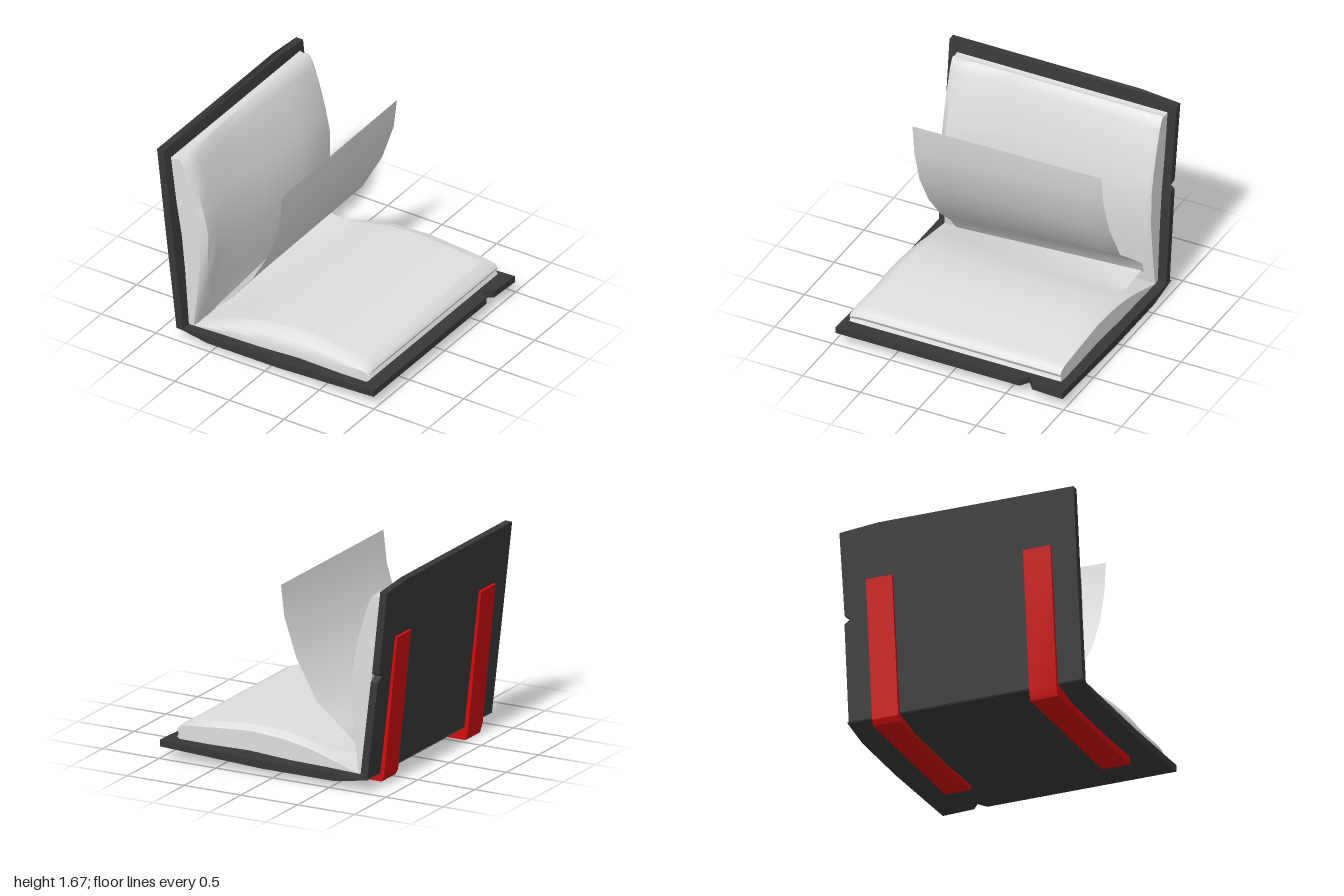
import * as THREE from 'three';
import { toCreasedNormals } from 'three/addons/utils/BufferGeometryUtils.js';

const coverMat = new THREE.MeshStandardMaterial({ color: 0x383838 });
coverMat.name = 'charcoal cover';
const paperMat = new THREE.MeshStandardMaterial({ color: 0xdededc, side: THREE.DoubleSide });
paperMat.name = 'paper white';
const strapMat = new THREE.MeshStandardMaterial({ color: 0xd20c0c });
strapMat.name = 'strap red';

// Solid through a row of closed rings; flat() projects a ring so it runs counter-clockwise
function loft(rings, flat, crease) {
  const n = rings[0].length, last = (rings.length - 1) * n, index = [];
  for (let i = 0; i < rings.length - 1; i++) {
    for (let j = 0; j < n; j++) {
      const a = i * n + j, b = i * n + (j + 1) % n;
      index.push(a, b, a + n, b, b + n, a + n);
    }
  }
  const cap = (ring) => THREE.ShapeUtils.triangulateShape(ring.map((p) => new THREE.Vector2(...flat(p))), []);
  for (const [a, b, c] of cap(rings[0])) index.push(a, c, b);
  for (const [a, b, c] of cap(rings.at(-1))) index.push(last + a, last + b, last + c);
  const geo = new THREE.BufferGeometry();
  geo.setAttribute('position', new THREE.Float32BufferAttribute(rings.flat(2), 3));
  geo.setIndex(index);
  return toCreasedNormals(geo, crease);
}
const alongZ = ([x, y]) => [x, y];
const alongY = ([x, , z]) => [x, -z];

// Thin page stretched between a back and a front edge curve
function sheet(back, front, zBack, zFront) {
  const pos = [], index = [], rows = 8;
  back.forEach((b, i) => {
    for (let k = 0; k <= rows; k++) {
      const t = k / rows, lerp = THREE.MathUtils.lerp;
      pos.push(lerp(b[0], front[i][0], t), lerp(b[1], front[i][1], t), lerp(zBack, zFront, t));
      if (i && k) {
        const d = i * (rows + 1) + k, c = d - 1, u = d - rows - 1;
        index.push(u - 1, c, u, u, c, d);
      }
    }
  });
  const geo = new THREE.BufferGeometry();
  geo.setAttribute('position', new THREE.Float32BufferAttribute(pos, 3));
  geo.setIndex(index);
  geo.computeVertexNormals();
  return geo;
}

export function createModel() {
  const book = new THREE.Group();
  book.name = 'openBook';
  const add = (name, geo, mat) => {
    const mesh = new THREE.Mesh(geo, mat);
    mesh.name = name;
    book.add(mesh);
  };

  // Lying cover, with a nick in its outer edge
  const lying = [[-0.83, 0.105], [-0.54, 0.055], [0.1, 0.055], [0.9, 0.09], [1, 0.095],
    [1, 0.15], [0.9, 0.145], [0.2, 0.12], [-0.8, 0.115]];
  const lyingStations = [[-0.99, 1], [-0.72, 0.985], [-0.66, 0.91], [-0.61, 0.985], [0.98, 0.985]];
  add('lyingCover', loft(lyingStations.map(([z, edge]) =>
    lying.map(([x, y]) => [x === 1 ? edge : x, y, z])), alongZ, 0.3), coverMat);

  // Standing cover, with a nick in its back edge and a worn top corner
  const standing = [[0.1, -0.98], [0.9, -0.975], [0.94, -0.92], [0.97, -0.97], [1.64, -0.98]];
  add('standingCover', loft(standing.map(([y, zBack], i) => {
    const x = -0.82 - (y - 0.1) * 0.116;
    const lift = i === 4 ? 0.03 : 0;
    return [[x, y + lift, 0.985], [x + 0.062, y + lift, 0.985], [x + 0.062, y + lift, -0.65],
      [x + 0.062, y, zBack], [x, y, zBack], [x, y + lift, -0.65]];
  }), alongY, 0.3), coverMat);

  // Page block on the lying cover; its front end rounds down
  const lower = [[-0.72, 0.12], [-0.45, 0.13], [-0.1, 0.137], [0.25, 0.158], [0.6, 0.152], [0.87, 0.155],
    [0.89, 0.17], [0.875, 0.2], [0.89, 0.23], [0.87, 0.262], [0.8, 0.28], [0.55, 0.31], [0.25, 0.335],
    [-0.05, 0.315], [-0.25, 0.275], [-0.4, 0.23], [-0.58, 0.165]];
  const lowerStations = [[-0.915, 0.9], [-0.89, 1], [0.78, 1], [0.84, 0.9], [0.885, 0.72], [0.91, 0.45]];
  add('lyingPages', loft(lowerStations.map(([z, s]) =>
    lower.map(([x, y]) => {
      const floor = 0.13 + 0.025 * THREE.MathUtils.smoothstep(x, -0.2, 0.3);
      const keep = x > 0.7 ? 1 - (1 - s) * 0.5 : s;
      return [x, y > floor + 0.03 ? floor + (y - floor) * keep : y, z];
    })), alongZ, 0.8), paperMat);

  // Page block on the standing cover; its face sags between the ends
  const upper = [[-0.755, 0.12], [-0.7, 0.12], [-0.66, 0.35], [-0.615, 0.65], [-0.61, 0.95], [-0.65, 1.13],
    [-0.7, 1.3], [-0.77, 1.5], [-0.81, 1.57], [-0.85, 1.585], [-0.88, 1.572], [-0.92, 1.58],
    [-0.87, 1.2], [-0.82, 0.9], [-0.79, 0.6]];
  const upperStations = [[-0.91, 0.85], [-0.88, 0.93], [-0.5, 0.85], [0, 0.8], [0.4, 0.7],
    [0.72, 0.92], [0.86, 1], [0.91, 0.8]];
  add('standingPages', loft(upperStations.map(([z, s]) =>
    upper.map(([x, y], j) => {
      const base = -0.755 - (y - 0.12) * 0.113;
      return [j > 0 && j < 9 ? base + (x - base) * s : x, y, z];
    })), alongZ, 0.8), paperMat);

  // Loose page resting on the lying block
  add('restingPage', sheet(
    [[-0.63, 0.265], [-0.38, 0.245], [-0.22, 0.295], [-0.05, 0.33], [0.25, 0.35], [0.55, 0.325], [0.8, 0.298]],
    [[-0.7, 0.125], [-0.42, 0.235], [-0.25, 0.285], [-0.05, 0.323], [0.25, 0.343], [0.55, 0.318], [0.8, 0.288]],
    -0.83, 0.8), paperMat);

  // Page caught while turning
  add('turningPage', sheet(
    [[-0.72, 0.12], [-0.66, 0.31], [-0.48, 0.46], [-0.29, 0.61], [-0.11, 0.94], [-0.005, 1.25], [0.025, 1.505]],
    [[-0.7, 0.12], [-0.6, 0.25], [-0.44, 0.4], [-0.24, 0.65], [-0.085, 0.93], [0.005, 1.23], [0.035, 1.495]],
    -0.825, 0.805), paperMat);

  // Straps wrapped round the fold: outer line, then back along the covers
  const strap = (name, zBack, zFront, floor) => {
    const line = [[-0.97, 1.22], [-0.853, 0.08], [-0.83, floor], [0.545, floor + 0.005], [0.545, 0.078],
      [0.1, 0.06], [-0.54, 0.06], [-0.81, 0.11], [-0.945, 1.225]];
    add(name, loft([zBack, zFront].map((z) => line.map(([x, y]) => [x, y, z])), alongZ, 0.3), strapMat);
  };
  strap('frontStrap', 0.55, 0.78, 0);
  strap('backStrap', -0.77, -0.55, 0.035);

  return book;
}
